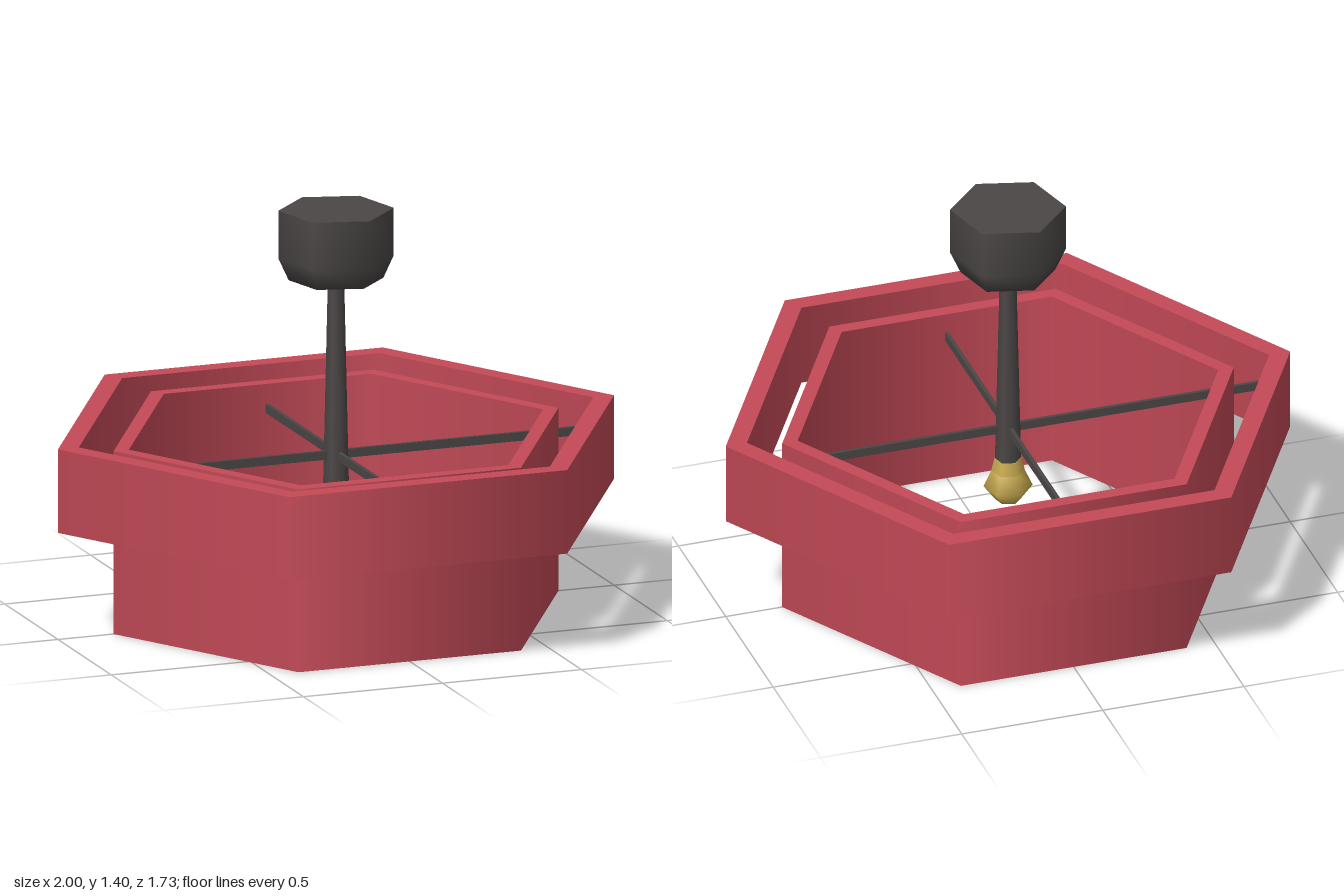
import * as THREE from 'three';
import { mergeGeometries } from 'three/addons/utils/BufferGeometryUtils.js';

const SIDES = 6;

// Six-sided solid from profile runs: smooth around and within a run, sharp between runs
function hexSolid(runs, phi) {
  return mergeGeometries(runs.map((run) =>
    new THREE.LatheGeometry(run.map(([r, y]) => new THREE.Vector2(r, y)), SIDES, phi)));
}

// Hollow hexagonal band with a corner on +x
function hexBand(outer, inner, y0, y1) {
  const loop = [[outer, y0], [outer, y1], [inner, y1], [inner, y0]];
  return hexSolid(loop.map((p, i) => [p, loop[(i + 1) % 4]]), Math.PI / 6);
}

export function createModel() {
  const group = new THREE.Group();
  group.name = 'pendantLamp';
  const material = (name, color) => {
    const m = new THREE.MeshStandardMaterial({ color });
    m.name = name;
    return m;
  };
  const red = material('redShade', 0xc44a57);
  const dark = material('darkMetal', 0x4b4746);
  const gold = material('goldBulb', 0xc9aa50);

  const add = (name, geometry, mat) => {
    const mesh = new THREE.Mesh(geometry, mat);
    mesh.name = name;
    group.add(mesh);
    return mesh;
  };

  // Two nested shades
  add('outerShade', hexBand(1, 0.925, 0.37, 0.66), red);
  add('innerShade', hexBand(0.8, 0.745, 0, 0.635), red);

  // Crossed arms holding the shades
  add('sideArm', new THREE.BoxGeometry(1.87, 0.03, 0.013), dark).position.y = 0.55;
  add('frontBackArm', new THREE.BoxGeometry(0.013, 0.03, 1.62), dark).position.y = 0.55;

  // Tapered stem and ceiling canopy
  const turn = Math.PI / 12;
  add('stem', hexSolid([[[0, 0.43], [0.044, 0.43]], [[0.044, 0.43], [0.028, 1.14]]], turn), dark);
  add('canopy', hexSolid([
    [[0, 1.125], [0.03, 1.13], [0.16, 1.158], [0.195, 1.235], [0.195, 1.4]],
    [[0.195, 1.4], [0, 1.4]],
  ], turn), dark);

  // Bulb with its neck
  add('bulb', hexSolid([
    [[0, 0.26], [0.045, 0.275], [0.083, 0.325], [0.056, 0.385]],
    [[0.056, 0.385], [0.046, 0.432]],
    [[0.046, 0.432], [0, 0.432]],
  ], turn), gold);

  return group;
}
